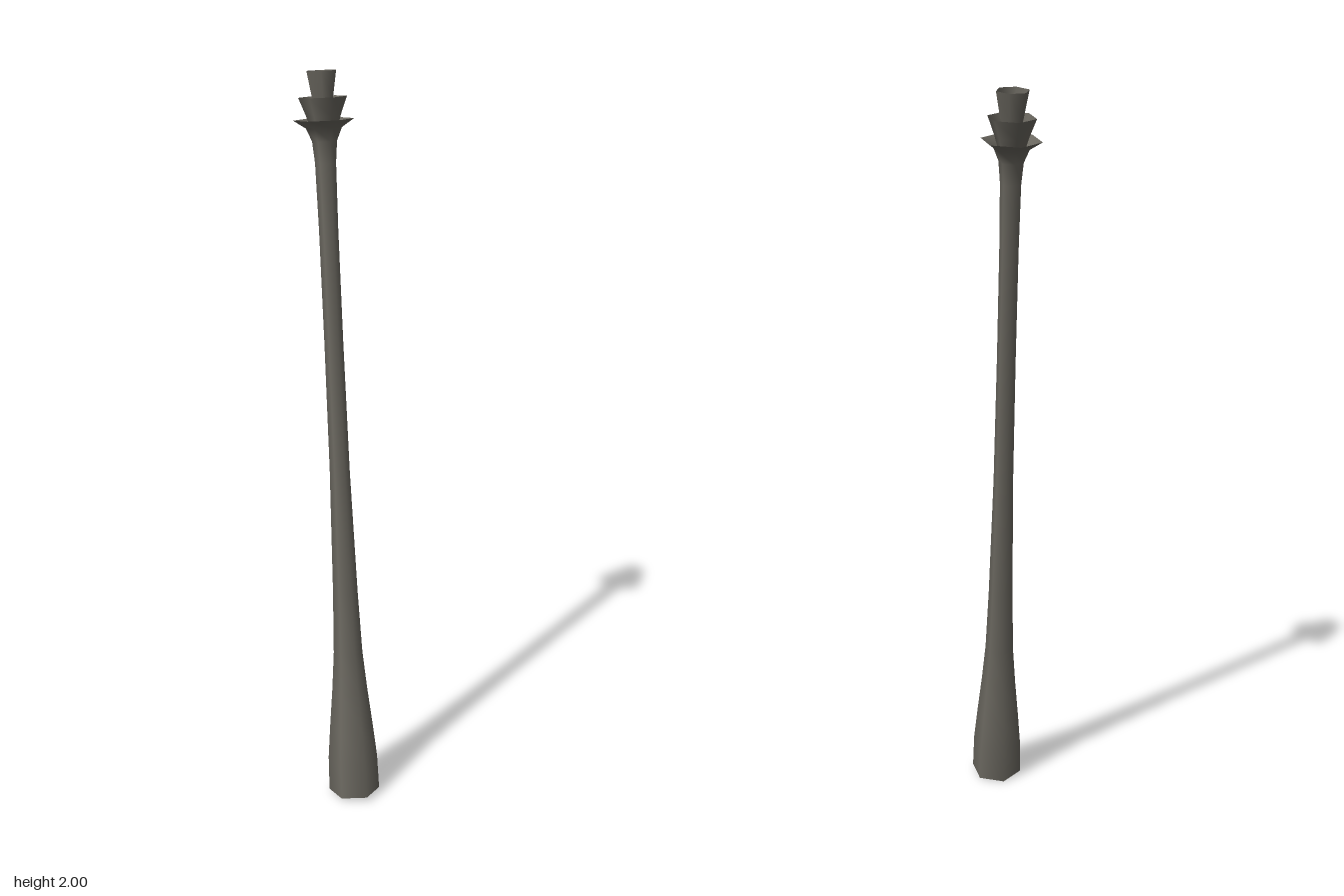
import * as THREE from 'three';

export function createModel() {
  const model = new THREE.Group();
  const stone = new THREE.MeshStandardMaterial({ color: 0x6b6860, side: THREE.DoubleSide });
  stone.name = 'dark grey';

  // Everything shares one leaning axis
  const base = new THREE.Vector3(0.036, 0.008, 0.108);
  const tip = new THREE.Vector3(-0.036, 1.995, -0.108);
  const stalk = new THREE.Group();
  stalk.name = 'leaningStalk';
  stalk.position.copy(base);
  stalk.quaternion.setFromUnitVectors(
    new THREE.Vector3(0, 1, 0), tip.clone().sub(base).normalize());
  model.add(stalk);

  // Six-sided turned part; turn is the angle of its first corner from +x towards +z
  function turned(name, profile, turn) {
    const points = profile.map(([r, y]) => new THREE.Vector2(r, y));
    const start = Math.PI / 2 - THREE.MathUtils.degToRad(turn);
    const mesh = new THREE.Mesh(new THREE.LatheGeometry(points, 6, start), stone);
    mesh.name = name;
    stalk.add(mesh);
  }

  // Closed foot
  turned('footCap', [[0, 0], [0.071, 0]], 5);

  // Long shaft, swelling at the foot and flaring into the lowest cup
  turned('shaft', [
    [0.071, 0], [0.069, 0.1], [0.06, 0.2], [0.049, 0.31], [0.04, 0.42],
    [0.034, 0.6], [0.027, 0.95], [0.025, 1.3], [0.025, 1.6], [0.027, 1.77],
    [0.032, 1.825], [0.046, 1.858], [0.078, 1.879],
  ], 5);

  // Two nested cups rising from the flare
  turned('middleCup', [[0.028, 1.835], [0.044, 1.888], [0.062, 1.935]], 6);
  turned('topCup', [[0.012, 1.85], [0.031, 1.935], [0.043, 2]], 34);
  turned('topCupFloor', [[0.012, 1.85], [0, 1.85]], 34);

  return model;
}
